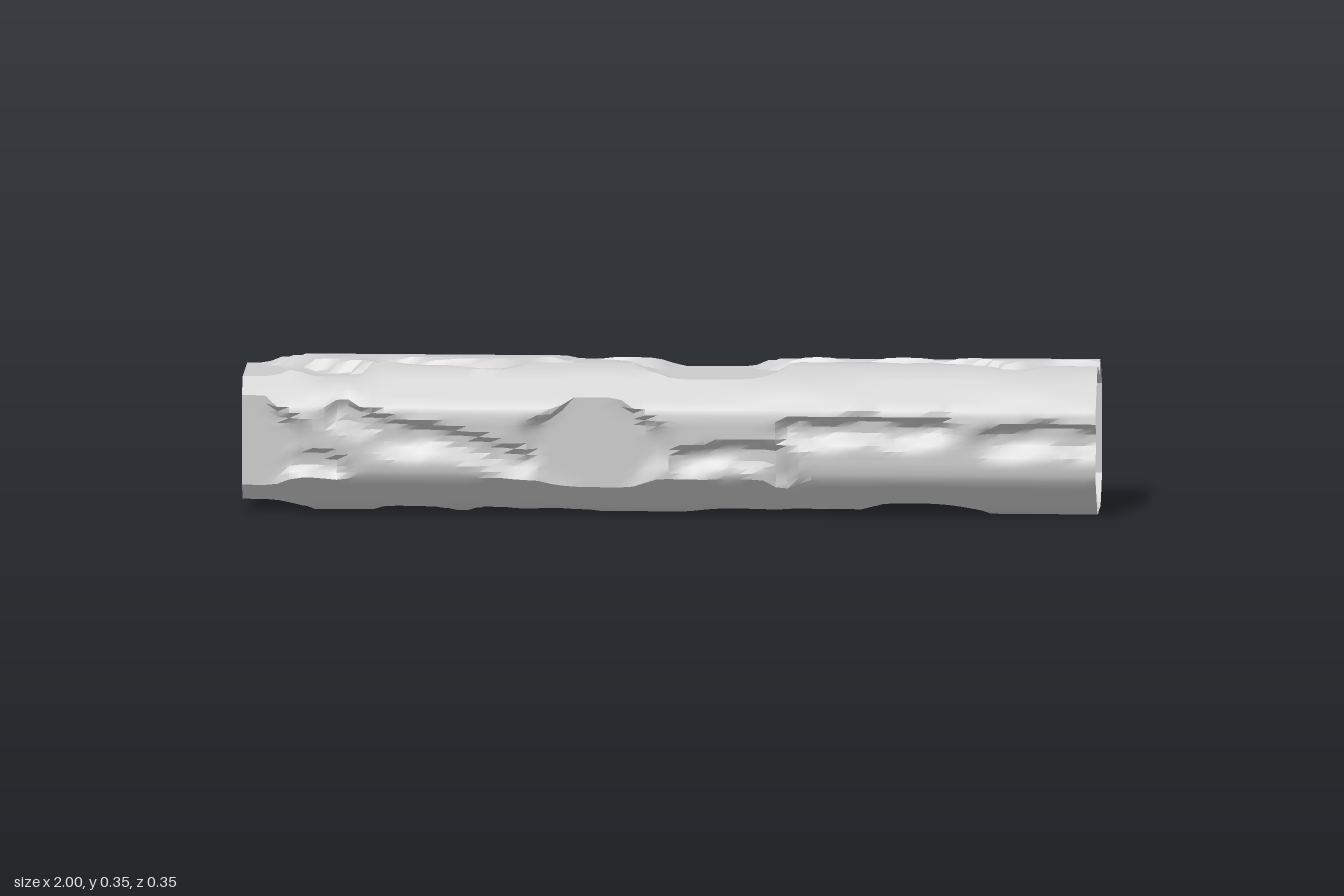
import * as THREE from 'three';
import { toCreasedNormals } from 'three/addons/utils/BufferGeometryUtils.js';

const CORE = 0.145;    // half width where the bark has worn away
const BARK = 0.03;     // bark thickness
const HALF = 0.106;    // half length of a worn flat, corner to corner
const ROWS = 72;       // steps along the log
const FLAT = 12, CHAMFER = 4;

// Worn grooves on each flat: [x0, t0, x1, t1, radius], t runs -1..1 across the flat.
const grooves = {
  front: [
    [-1.1, 0, -1.0, 0, 1.1], [-0.76, 0.75, -0.35, -0.45, 0.15], [-0.65, 0.2, -0.6, 0.15, 0.2],
    [-0.2, 0, -0.14, 0, 1.0], [0.05, -0.35, 0.22, -0.25, 0.15],
    [0.3, 0.45, 0.62, 0.45, 0.15], [0.25, -0.2, 0.27, -0.9, 0.1],
    [0.78, 0.25, 1.1, 0.25, 0.2], [-0.93, -0.5, -0.8, -0.6, 0.15],
  ],
  top: [
    [-1.1, 0, -1.0, 0, 1.1], [0.07, 0, 0.13, 0, 1.05], [-0.22, 0.5, 0, 0.5, 0.1],
    [0.2, 0.4, 0.65, 0.35, 0.1], [0.68, 0.2, 0.8, -0.2, 0.15], [0.82, -0.1, 1.1, 0.35, 0.15],
    [-0.65, -0.05, -0.45, -0.5, 0.1], [-0.45, -0.5, -0.28, 0, 0.1], [-0.82, -0.7, -0.75, -0.8, 0.3],
  ],
  back: [
    [-0.25, 0, -0.1, 0, 1.1], [0.97, 0, 1.1, 0, 1.1], [-0.85, 0.4, -0.6, 0.2, 0.15],
    [0.2, 0.5, 0.6, -0.2, 0.15], [0.6, -0.3, 0.8, -0.6, 0.15], [0, -0.4, 0.25, 0.1, 0.15],
  ],
  bottom: [
    [-1.1, 0, -1.0, 0, 1.1], [-0.61, 0, -0.59, 0, 0.5], [0.56, 0, 0.6, 0, 1.0],
    [-0.4, 0.4, 0, -0.2, 0.15], [0.1, 0.3, 0.4, 0.5, 0.15], [0.7, -0.4, 0.95, -0.3, 0.15],
  ],
};
const sides = ['front', 'top', 'back', 'bottom'];

// Bark height at a spot on a flat: full thickness minus the deepest groove.
function barkHeight(side, x, t) {
  const down = side < 2 ? -1 : 1;
  let worn = 0;
  for (const [x0, t0, x1, t1, r] of grooves[sides[side]]) {
    const ax = (x1 - x0) * 10, at = t1 - t0;
    const px = (x - x0) * 10, pt = t - t0;
    const k = THREE.MathUtils.clamp((px * ax + pt * at) / (ax * ax + at * at), 0, 1);
    const dx = px - k * ax, dt = pt - k * at;
    // Sharp ledge above a groove, long fade below it and along the log
    const fade = 0.25 + 0.4 * THREE.MathUtils.clamp(Math.abs(dx) + dt * down, 0, 1);
    const d = Math.hypot(dx, dt) + 0.06 * Math.sin(x * 31 + t * 4 + side);
    worn = Math.max(worn, 1 - THREE.MathUtils.smoothstep(d, r, r + fade));
  }
  return BARK * (1 - worn);
}

const hump = (x, centre, width) => Math.exp(-(((x - centre) / width) ** 2));

// Lift (or dent) of the two upper chamfers; the lower ones stay plain.
function chamferLift(side, x) {
  if (side === 0) return 0.007 * (hump(x, -0.78, 0.08) + hump(x, 0.3, 0.12) + hump(x, 0.85, 0.1));
  if (side === 1) return 0.006 * hump(x, 0.6, 0.2) - 0.02 * hump(x, -0.68, 0.07);
  return 0;
}

// One cross-section as [z, y] points: four barked flats joined by chamfers.
function section(x) {
  const flats = sides.map((_, side) => {
    const a = side * Math.PI / 2, c = Math.cos(a), s = Math.sin(a);
    const bevel = side % 2 ? 0.4 : 0.2;
    const pts = [];
    for (let i = 0; i <= FLAT; i++) {
      const t = i / FLAT * 2 - 1;
      // Bark plates are bevelled towards the chamfers
      const rim = 1 - bevel * THREE.MathUtils.smoothstep(Math.abs(t), 0.68, 1);
      const out = CORE + barkHeight(side, x, t) * rim;
      const along = t * (HALF - barkHeight(side, x, Math.sign(t)) * (1 - bevel));
      pts.push([out * c - along * s, out * s + along * c]);
    }
    return pts;
  });
  const ring = [];
  flats.forEach((pts, side) => {
    ring.push(...pts);
    const from = pts[FLAT], to = flats[(side + 1) % 4][0];
    for (let i = 1; i < CHAMFER; i++) {
      const k = i / CHAMFER;
      const bump = 1 + chamferLift(side, x) * Math.sin(k * Math.PI) / 0.18;
      ring.push([0, 1].map((n) => THREE.MathUtils.lerp(from[n], to[n], k) * bump));
    }
  });
  return ring;
}

export function createModel() {
  const positions = [], index = [];
  let count = 0;
  for (let r = 0; r <= ROWS; r++) {
    const x = r / ROWS * 2 - 1;
    const ring = section(x);
    count = ring.length;
    for (const [z, y] of ring) positions.push(x, y + CORE + BARK, z);
  }
  for (let r = 0; r < ROWS; r++) {
    for (let i = 0; i < count; i++) {
      const j = (i + 1) % count;
      const a = r * count + i, b = a + count, c = (r + 1) * count + j, d = r * count + j;
      index.push(a, b, c, a, c, d);
    }
  }
  const geometry = new THREE.BufferGeometry();
  geometry.setAttribute('position', new THREE.Float32BufferAttribute(positions, 3));
  geometry.setIndex(index);

  // Hollow log, open at both ends
  const log = new THREE.Mesh(
    toCreasedNormals(geometry, 0.6),
    new THREE.MeshStandardMaterial({ color: 0xcccccc, side: THREE.DoubleSide }),
  );
  log.name = 'hollowLog';
  const model = new THREE.Group();
  model.name = 'log';
  model.add(log);
  return model;
}
